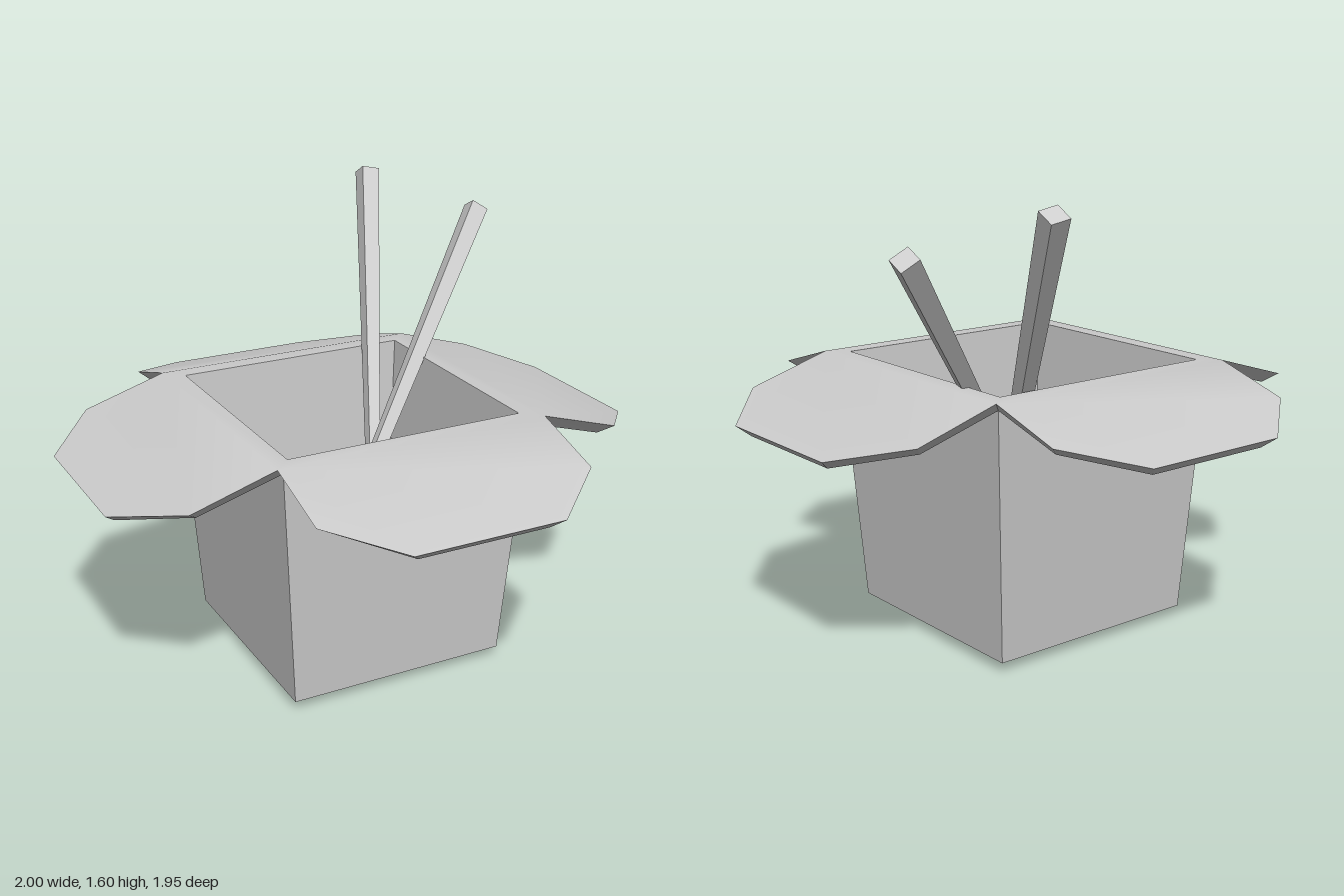
import * as THREE from 'three';
import { toCreasedNormals } from 'three/addons/utils/BufferGeometryUtils.js';

const FLOOR = 0.12, BASE = 0.04, RIM = 0.97, SLOPE = 0.305;

// Each face is a convex loop of [u, y, d]: u along the side, d outward from the centre
function addFace(out, loop, turn) {
  const c = Math.cos(turn), s = Math.sin(turn);
  const pts = loop.map(([u, y, d]) => [u * c + d * s, y, d * c - u * s]);
  for (let i = 1; i < pts.length - 1; i++) out.push(...pts[0], ...pts[i], ...pts[i + 1]);
}

// Level edge of one side, running left to right at half-width w
const edge = (w, y) => [[-w, y, w], [w, y, w]];
const band = (low, high) => [low[0], low[1], high[1], high[0]];

// Octagon-cornered flap outline sloping down from its hinge
function flapOutline(hinge, y, shoulderW, shoulderD, tipW, tipD) {
  const h = d => y - SLOPE * (d - hinge);
  const right = [[tipW, tipD], [shoulderW, shoulderD], [hinge, hinge]];
  const left = right.map(([u, d]) => [-u, d]).reverse();
  return [...left, ...right].map(([u, d]) => [u, h(d), d]);
}

function createCarton() {
  const out = [];
  for (let k = 0; k < 4; k++) {
    const turn = k * Math.PI / 2;
    const reach = k % 2 ? 1 : 0.975;
    // outer wall, inner wall and flat rim
    addFace(out, band(edge(0.41, BASE), edge(0.467, 0.935)), turn);
    addFace(out, band(edge(0.385, FLOOR), edge(0.44, RIM)).reverse(), turn);
    addFace(out, band(edge(0.505, RIM), edge(0.44, RIM)), turn);
    // flap: top, bevelled edges and underside
    const top = flapOutline(0.505, RIM, 0.505, reach - 0.195, 0.275, reach);
    const under = flapOutline(0.467, 0.935, 0.46, reach - 0.235, 0.24, reach - 0.04);
    addFace(out, top, turn);
    addFace(out, [...under].reverse(), turn);
    for (let i = 0; i < 5; i++) addFace(out, [top[i], under[i], under[i + 1], top[i + 1]], turn);
  }
  // inner floor and outer base
  const square = (w, y) => [...edge(w, y), [w, y, -w], [-w, y, -w]];
  addFace(out, square(0.385, FLOOR), 0);
  addFace(out, square(0.41, BASE).reverse(), 0);

  const geo = new THREE.BufferGeometry();
  geo.setAttribute('position', new THREE.Float32BufferAttribute(out, 3));
  return toCreasedNormals(geo, 0.5);
}

// Square tapered stick between two points, kept level with the x axis
function createStick(tip, end) {
  const a = new THREE.Vector3(...tip), b = new THREE.Vector3(...end);
  const geo = new THREE.CylinderGeometry(0.07 * Math.SQRT1_2, 0.025 * Math.SQRT1_2, a.distanceTo(b), 4, 1, false, Math.PI / 4);
  const dir = b.clone().sub(a).normalize();
  const side = new THREE.Vector3(1, 0, 0).addScaledVector(dir, -dir.x).normalize();
  const m = new THREE.Matrix4().makeBasis(side, dir, side.clone().cross(dir));
  m.setPosition(a.add(b).multiplyScalar(0.5));
  return geo.applyMatrix4(m);
}

export function createModel() {
  const group = new THREE.Group();
  const add = (name, geo, flatShading) => {
    const mesh = new THREE.Mesh(geo, new THREE.MeshStandardMaterial({ color: 0xcccccc, flatShading }));
    mesh.name = name;
    group.add(mesh);
  };
  add('openCarton', createCarton(), false);
  add('steepChopstick', createStick([0.048, 0.01, 0.15], [0.482, 1.58, -0.755]), true);
  add('leaningChopstick', createStick([-0.33, 0.08, 0.21], [0.828, 1.45, -0.49]), true);
  return group;
}
